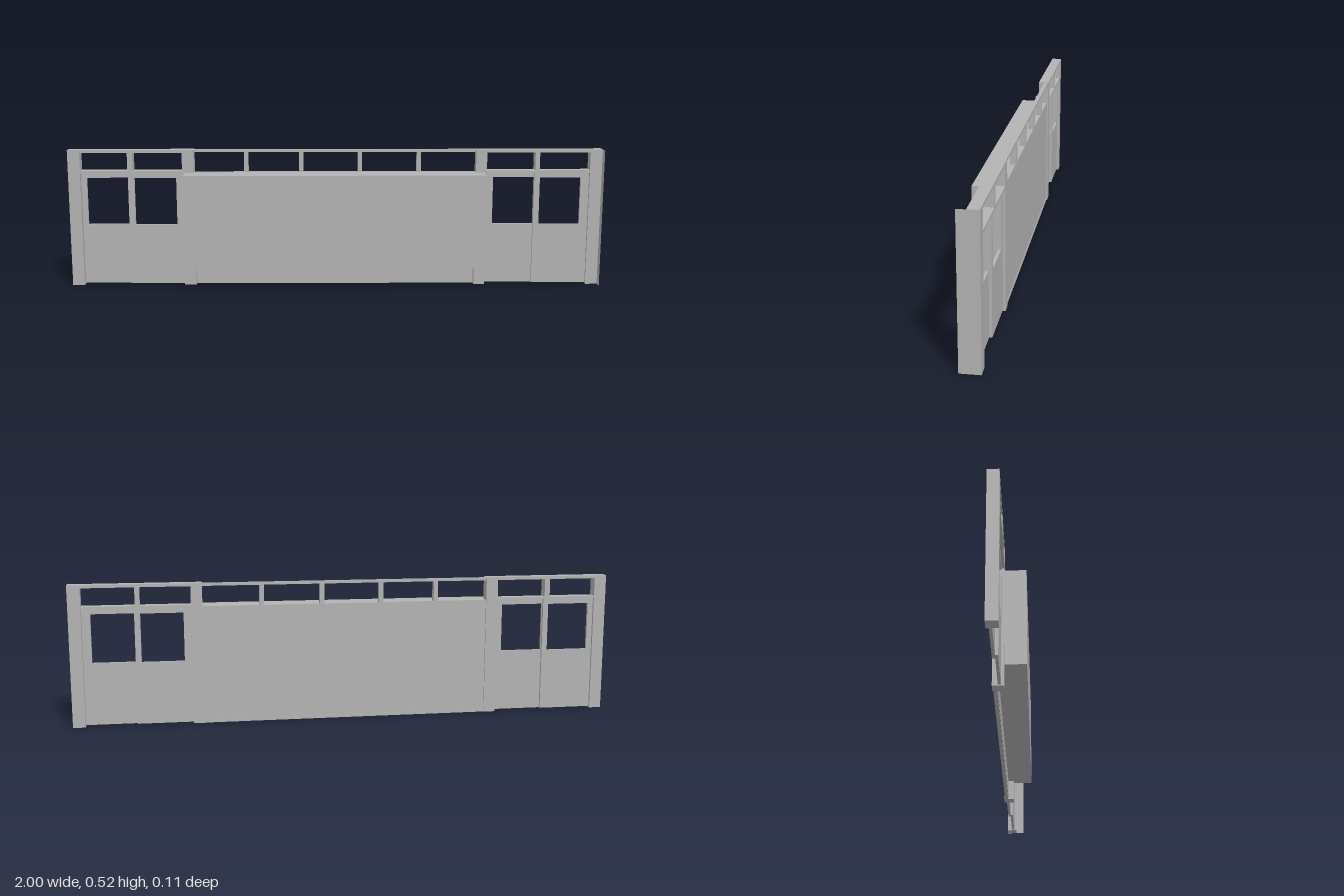
import * as THREE from 'three';

export function createModel() {
  const model = new THREE.Group();
  const grey = new THREE.MeshStandardMaterial({ color: 0xb3b3b3 });
  grey.name = 'grey';
  const greySheet = new THREE.MeshStandardMaterial({ color: 0xb3b3b3, side: THREE.DoubleSide });
  greySheet.name = 'grey sheet';

  const BACK = -0.055, FRONT = -0.016, HEIGHT = 0.517;

  // Box given by its limits on each axis
  function block(name, x0, x1, y0, y1, z0, z1) {
    const mesh = new THREE.Mesh(new THREE.BoxGeometry(x1 - x0, y1 - y0, z1 - z0), grey);
    mesh.position.set((x0 + x1) / 2, (y0 + y1) / 2, (z0 + z1) / 2);
    mesh.name = name;
    model.add(mesh);
  }

  // Thin door leaf with a window opening
  function door(name, x0, x1, w0, w1, z0, z1) {
    const top = 0.432;
    const leaf = new THREE.Shape([[x0, 0.004], [x1, 0.004], [x1, top], [x0, top]]
      .map(p => new THREE.Vector2(...p)));
    leaf.holes.push(new THREE.Path([[w0, 0.232], [w0, 0.41], [w1, 0.41], [w1, 0.232]]
      .map(p => new THREE.Vector2(...p))));
    const geo = new THREE.ExtrudeGeometry(leaf, { depth: z1 - z0, bevelEnabled: false });
    const mesh = new THREE.Mesh(geo, grey);
    mesh.position.z = z0;
    mesh.name = name;
    model.add(mesh);
  }

  // Posts at the ends and beside the centre panel
  for (const [x0, x1] of [[-1, -0.955], [-0.574, -0.53], [0.527, 0.568], [0.955, 1]])
    block('post', x0, x1, 0, HEIGHT, BACK, FRONT);

  // Door bays: head rail, transom rail and short transom mullion
  for (const [x0, x1, m0, m1] of [[-0.955, -0.574, -0.778, -0.758], [0.568, 0.955, 0.749, 0.766]]) {
    block('headRail', x0, x1, 0.506, HEIGHT, BACK, FRONT);
    block('transomRail', x0, x1, 0.43, 0.439, BACK, FRONT);
    block('transomMullion', m0, m1, 0.439, 0.506, BACK, FRONT);
  }

  // Overlapping sliding leaves, two in each bay
  door('rearDoor', -0.955, -0.757, -0.935, -0.777, -0.046, -0.036);
  door('frontDoor', -0.779, -0.574, -0.755, -0.598, -0.036, -0.026);
  door('rearDoor', 0.568, 0.77, 0.595, 0.749, -0.046, -0.036);
  door('frontDoor', 0.749, 0.955, 0.77, 0.924, -0.036, -0.026);

  // Centre panel with sill, top rail and small mullions
  block('centreSill', -0.53, 0.527, 0, 0.01, -0.052, -0.039);
  block('centrePanel', -0.53, 0.527, 0.01, 0.432, -0.05, -0.038);
  block('centreTopRail', -0.53, 0.527, 0.506, HEIGHT - 0.001, -0.053, -0.038);
  for (const x of [-0.335, -0.128, 0.092, 0.313])
    block('centreMullion', x - 0.008, x + 0.008, 0.432, 0.507, -0.054, -0.03);

  // Large display box, with its body reaching back to the panel
  block('displayBox', -0.562, 0.556, 0.08, 0.43, FRONT, 0.057);
  block('displayBoxBack', -0.53, 0.527, 0.08, 0.43, -0.038, FRONT);

  // Thin sheet on the end face
  const sheet = new THREE.Mesh(new THREE.PlaneGeometry(0.07, HEIGHT), greySheet);
  sheet.rotation.y = Math.PI / 2;
  sheet.position.set(1.0005, HEIGHT / 2, -0.02);
  sheet.name = 'endSheet';
  model.add(sheet);

  return model;
}
